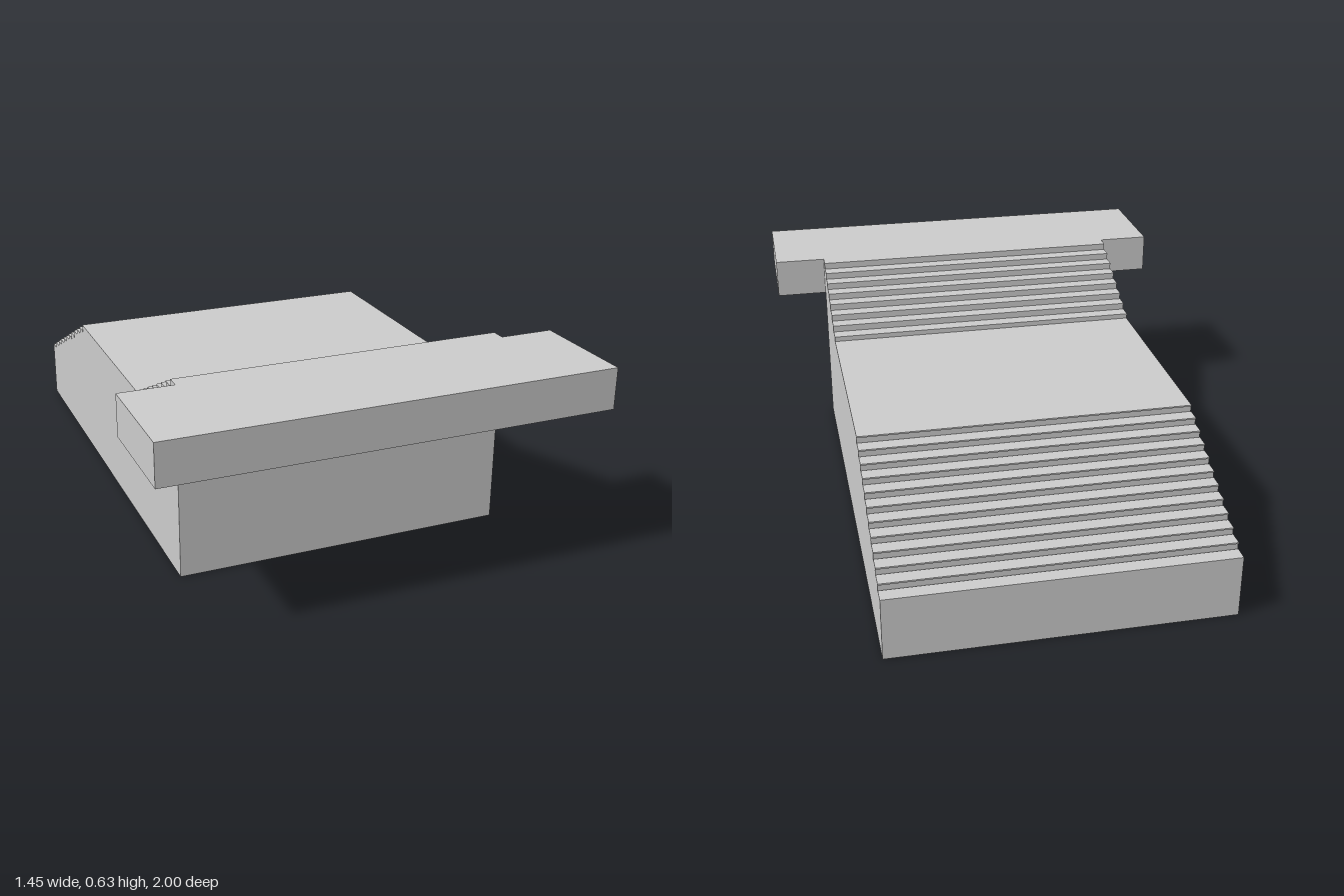
import * as THREE from 'three';

const WIDTH = 1.09, RUN = 0.0475, RISE = 0.0227, TREAD = 0.005, NOSING = 0.004;
const FRONT = 0.637, BACK = -1, TOP = 0.635, LANDING = 0.457;

export function createModel() {
  const group = new THREE.Group();
  group.name = 'staircase';
  const material = new THREE.MeshStandardMaterial({ color: 0xcccccc });

  function box(name, w, h, d, x, y, z) {
    const mesh = new THREE.Mesh(new THREE.BoxGeometry(w, h, d), material);
    mesh.name = name;
    mesh.position.set(x, y, z);
    group.add(mesh);
  }

  // Two flights: back edge of each tread and its top height
  const flights = [
    { name: 'upperTread', z: FRONT, y: TOP, count: 8 },
    { name: 'lowerTread', z: BACK + 12 * RUN, y: LANDING, count: 12 },
  ];

  // Solid base: stepped side profile (backwards = +x in the shape), swept across the width
  const profile = new THREE.Shape();
  profile.moveTo(-FRONT, 0);
  for (const { z, y, count } of flights) {
    for (let i = 0; i < count; i++) {
      const top = y - i * RISE - TREAD;
      const end = z - (i + 1) * RUN;
      // risers sit slightly behind the nosings, except at the back wall
      const riser = end < BACK + 0.01 ? BACK : end + NOSING;
      if (i === 0 && y === LANDING) profile.lineTo(-z, LANDING);
      profile.lineTo(-(z - i * RUN) - (i ? NOSING : 0), top);
      profile.lineTo(-riser, top);
    }
    if (y === TOP) profile.lineTo(-(z - count * RUN + NOSING), LANDING);
  }
  profile.lineTo(-BACK, 0);
  profile.closePath();
  const baseGeometry = new THREE.ExtrudeGeometry(profile, { depth: WIDTH, bevelEnabled: false });
  baseGeometry.translate(0, 0, -WIDTH / 2).rotateY(Math.PI / 2);
  const base = new THREE.Mesh(baseGeometry, material);
  base.name = 'steppedBase';
  group.add(base);

  // Thin treads overhanging the risers
  for (const { name, z, y, count } of flights) {
    for (let i = 0; i < count; i++) {
      box(name, WIDTH, TREAD, RUN, 0, y - i * RISE - TREAD / 2, z - (i + 0.5) * RUN);
    }
  }

  // Wide platform projecting from the top of the stairs
  box('topPlatform', 1.446, 0.135, 1 - FRONT, 0, TOP - 0.0675, (1 + FRONT) / 2);

  return group;
}
